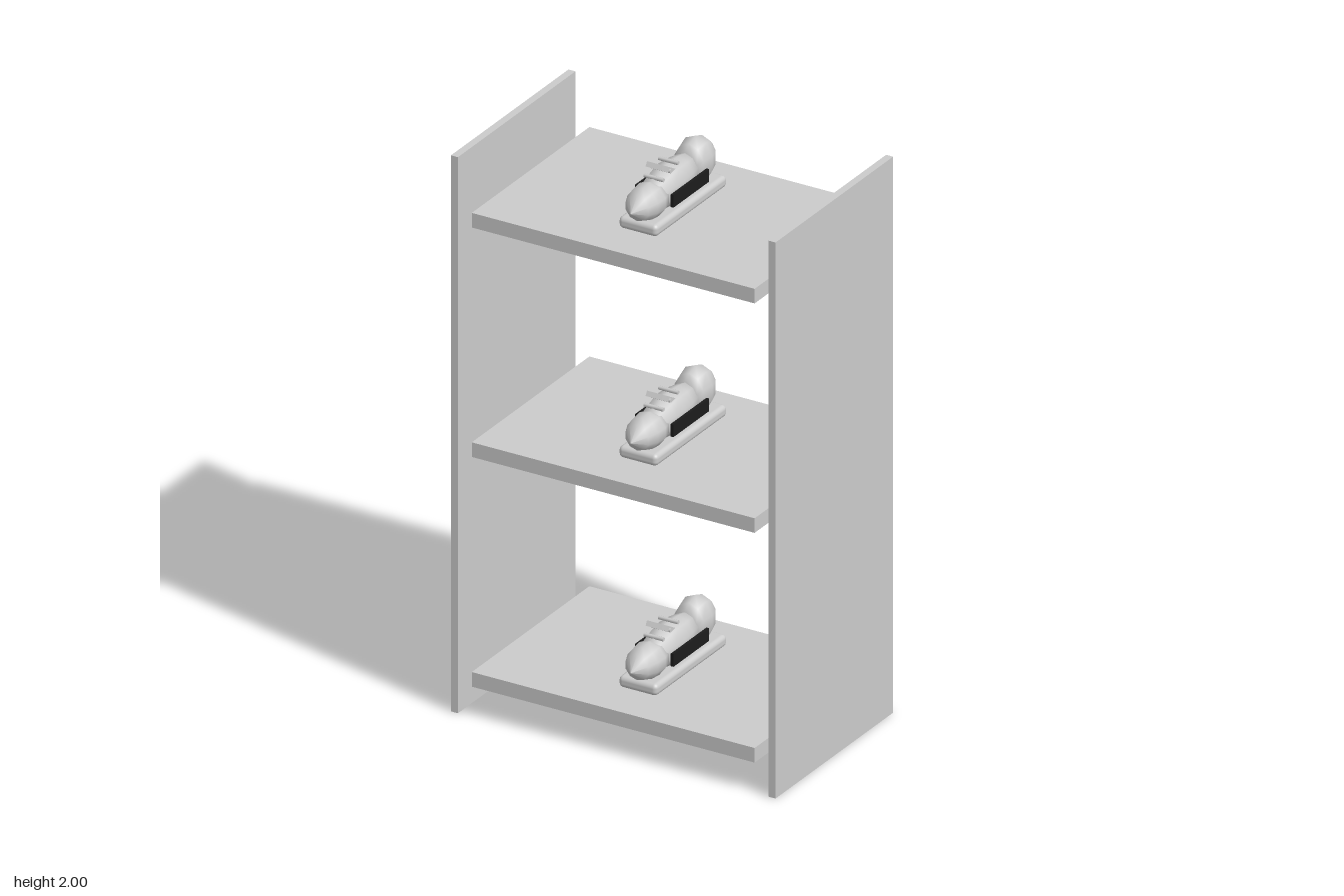
import * as THREE from 'three';
import { RoundedBoxGeometry } from 'three/addons/geometries/RoundedBoxGeometry.js';

const grey = new THREE.MeshStandardMaterial({ color: 0xcccccc });
const black = new THREE.MeshStandardMaterial({ color: 0x1c1c1c });

function add(parent, name, geometry, x, y, z, material = grey) {
  const mesh = new THREE.Mesh(geometry, material);
  mesh.name = name;
  mesh.position.set(x, y, z);
  parent.add(mesh);
  return mesh;
}

// Skin of elliptical rings along z; each station is [z, centre y, half width, half height]
function loft(stations, sides = 10) {
  const first = stations[0], last = stations[stations.length - 1];
  const rings = [[first[0], first[1], 0, 0], ...stations, [last[0], last[1], 0, 0]];
  const positions = [], index = [];
  for (const [z, y, rx, ry] of rings) {
    for (let i = 0; i < sides; i++) {
      const a = (i / sides) * Math.PI * 2 + Math.PI / 2;
      positions.push(Math.cos(a) * rx, y + Math.sin(a) * ry, z);
    }
  }
  for (let r = 0; r < rings.length - 1; r++) {
    for (let i = 0; i < sides; i++) {
      const a = r * sides + i, b = r * sides + ((i + 1) % sides);
      index.push(a, b, a + sides, b, b + sides, a + sides);
    }
  }
  const geometry = new THREE.BufferGeometry();
  geometry.setAttribute('position', new THREE.Float32BufferAttribute(positions, 3));
  geometry.setIndex(index);
  geometry.computeVertexNormals();
  return geometry;
}

function createShoe() {
  const shoe = new THREE.Group();
  shoe.name = 'shoe';

  add(shoe, 'sole', new RoundedBoxGeometry(0.144, 0.042, 0.44, 3, 0.016), 0, 0.021, -0.005);

  // Upper: rounded heel, waisted middle and pointed toe
  add(shoe, 'heel', loft([
    [-0.225, 0.112, 0.004, 0.004], [-0.21, 0.112, 0.037, 0.047], [-0.185, 0.112, 0.053, 0.07],
    [-0.146, 0.112, 0.065, 0.084], [-0.105, 0.112, 0.056, 0.072], [-0.08, 0.112, 0.045, 0.055],
  ]), 0, 0, 0);
  add(shoe, 'body', loft([
    [-0.1, 0.1, 0.046, 0.058], [-0.04, 0.1, 0.058, 0.068], [0.02, 0.1, 0.064, 0.072],
    [0.07, 0.098, 0.06, 0.065], [0.13, 0.094, 0.05, 0.054],
  ]), 0, 0, 0);
  add(shoe, 'toe', loft([
    [0.1, 0.09, 0.053, 0.05], [0.14, 0.09, 0.064, 0.06], [0.18, 0.089, 0.06, 0.056],
    [0.215, 0.088, 0.045, 0.044], [0.255, 0.086, 0.001, 0.001],
  ]), 0, 0, 0);

  // Tongue rising toward the front, with laces across it
  const tongue = add(shoe, 'tongue', new THREE.BoxGeometry(0.06, 0.018, 0.09), 0, 0.173, 0.07);
  tongue.rotation.x = -Math.PI / 6;
  [[0.02, 0.177], [0.065, 0.167], [0.11, 0.154]].forEach(([z, y]) => {
    const lace = add(shoe, 'lace', new THREE.CylinderGeometry(0.007, 0.007, 0.072, 8), 0, y, z);
    lace.rotation.z = Math.PI / 2;
  });

  // Dark band on each side
  for (const s of [-1, 1]) {
    add(shoe, 'sideBand', new THREE.BoxGeometry(0.01, 0.045, 0.22), s * 0.067, 0.088, 0, black);
  }
  return shoe;
}

export function createModel() {
  const model = new THREE.Group();
  model.name = 'shoeRack';

  for (const s of [-1, 1]) {
    add(model, 'sidePanel', new THREE.BoxGeometry(0.026, 1.98, 0.724), s * 0.593, 0.99, 0);
  }

  // Shelves, each carrying one shoe
  for (const top of [0.16, 0.978, 1.795]) {
    add(model, 'shelf', new THREE.BoxGeometry(1.056, 0.052, 0.724), 0, top - 0.026, 0);
    const shoe = createShoe();
    shoe.position.y = top;
    model.add(shoe);
  }
  return model;
}
